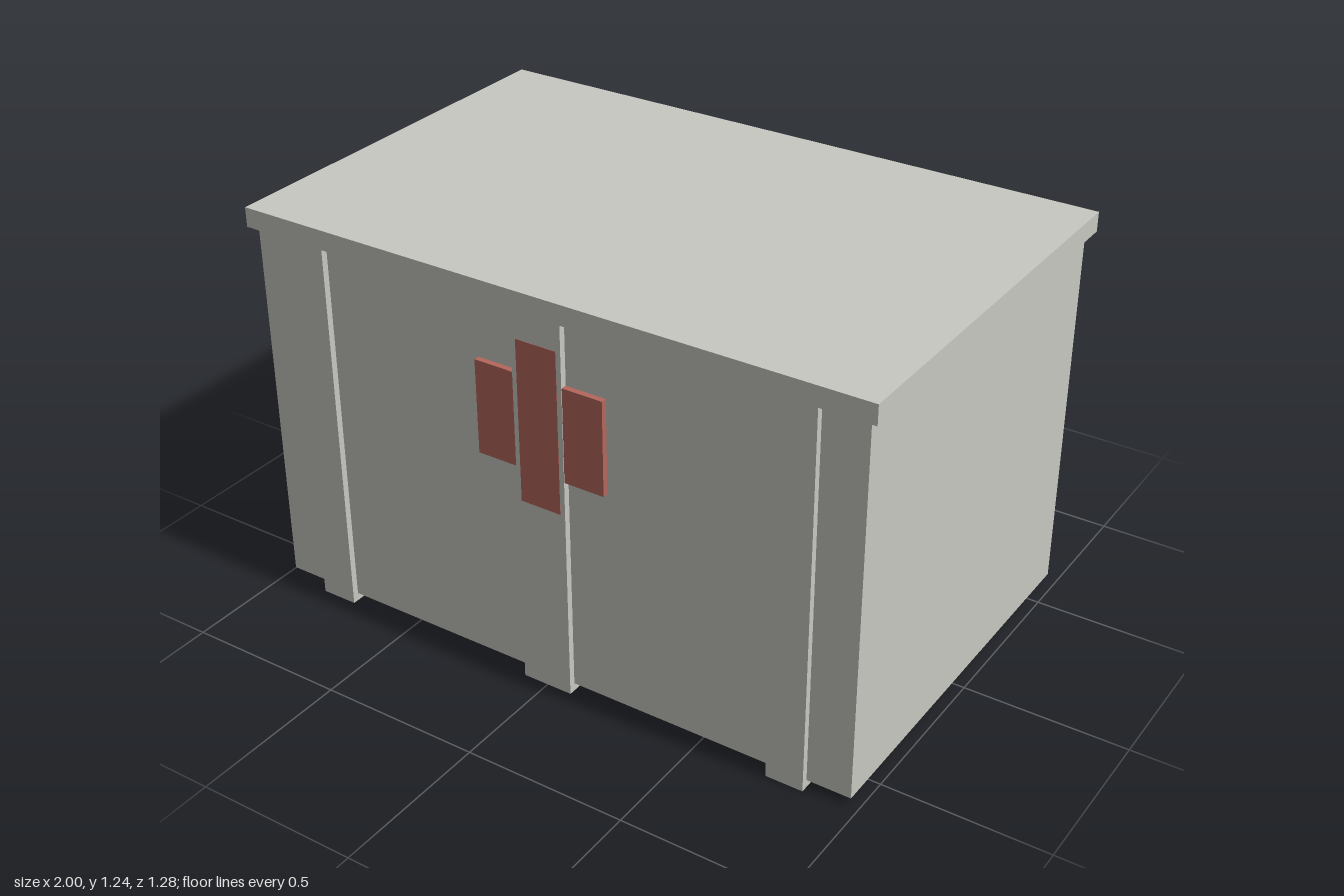
import * as THREE from 'three';

export function createModel() {
  const root = new THREE.Group();
  root.name = 'crate';

  const grey = new THREE.MeshStandardMaterial({ color: 0xc8c8c2 });
  grey.name = 'pale grey';
  const red = new THREE.MeshStandardMaterial({ color: 0xb5665c });
  red.name = 'faded red';

  // Box given by its lower and upper limits on each axis
  function box(name, material, [x0, x1], [y0, y1], [z0, z1]) {
    const mesh = new THREE.Mesh(new THREE.BoxGeometry(x1 - x0, y1 - y0, z1 - z0), material);
    mesh.position.set((x0 + x1) / 2, (y0 + y1) / 2, (z0 + z1) / 2);
    mesh.name = name;
    root.add(mesh);
  }

  // Main case and overhanging lid
  box('body', grey, [-0.975, 0.975], [0.025, 1.18], [-0.62, 0.62]);
  box('lid', grey, [-1, 1], [1.18, 1.24], [-0.64, 0.64]);

  // Straps wrapping the front, underside and back
  const straps = [
    ['rightStrap', -0.84, -0.725],
    ['middleStrap', -0.08, 0.08],
    ['leftStrap', 0.725, 0.84],
  ];
  for (const [name, x0, x1] of straps) box(name, grey, [x0, x1], [0, 1.18], [-0.64, 0.64]);

  // Front emblem: upright plate on the middle strap, raised arms beside it
  box('emblemUpright', red, [-0.065, 0.065], [0.6, 1.1], [0.636, 0.641]);
  box('emblemRightArm', red, [-0.207, -0.08], [0.705, 0.995], [0.62, 0.638]);
  box('emblemLeftArm', red, [0.08, 0.207], [0.705, 0.995], [0.62, 0.638]);

  return root;
}
